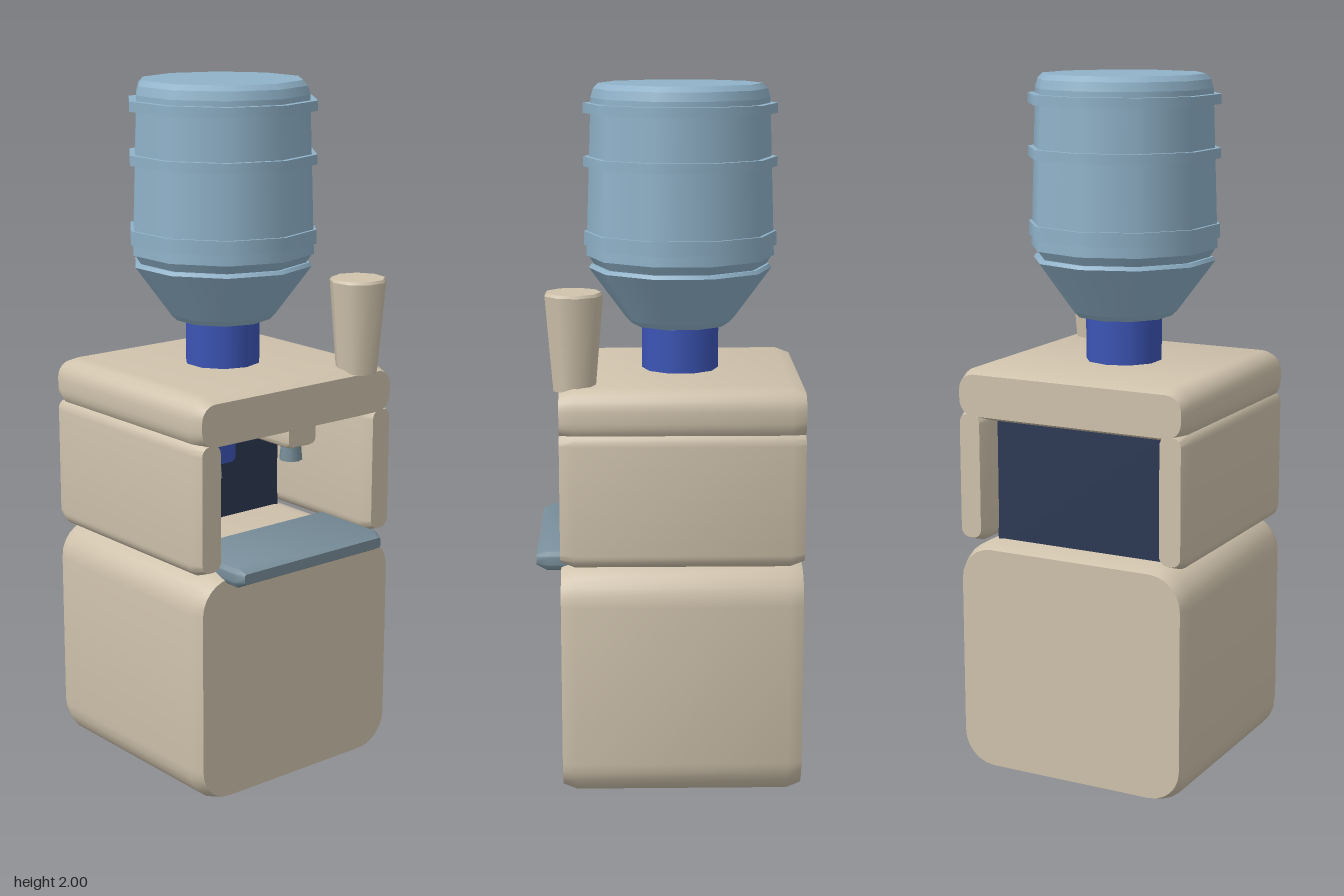
import * as THREE from 'three';
import { toCreasedNormals } from 'three/addons/utils/BufferGeometryUtils.js';

const material = (name, color) => {
  const m = new THREE.MeshStandardMaterial({ color });
  m.name = name;
  return m;
};

export function createModel() {
  const cream = material('cream plastic', 0xd0c3ad);
  const bottleBlue = material('bottle blue', 0x90b2c9);
  const deepBlue = material('deep blue', 0x3c55b6);
  const navy = material('navy', 0x2c3953);
  const steel = material('grey blue', 0x788e9a);

  const model = new THREE.Group();
  model.name = 'waterCooler';

  const add = (parent, name, geometry, mat, x = 0, y = 0, z = 0) => {
    const mesh = new THREE.Mesh(geometry, mat);
    mesh.name = name;
    mesh.position.set(x, y, z);
    parent.add(mesh);
    return mesh;
  };

  // Rounded block running along z, with softened front and back rims
  const block = (x0, x1, y0, y1, z0, z1, r, rim = 0.015, rimDepth = 0.04) => {
    const s = new THREE.Shape();
    s.moveTo(x0 + r, y0);
    s.lineTo(x1 - r, y0);
    s.absarc(x1 - r, y0 + r, r, -Math.PI / 2, 0, false);
    s.lineTo(x1, y1 - r);
    s.absarc(x1 - r, y1 - r, r, 0, Math.PI / 2, false);
    s.lineTo(x0 + r, y1);
    s.absarc(x0 + r, y1 - r, r, Math.PI / 2, Math.PI, false);
    s.lineTo(x0, y0 + r);
    s.absarc(x0 + r, y0 + r, r, Math.PI, Math.PI * 1.5, false);
    const g = new THREE.ExtrudeGeometry(s, {
      depth: z1 - z0 - 2 * rimDepth, curveSegments: 3,
      bevelEnabled: true, bevelSegments: 1,
      bevelThickness: rimDepth, bevelSize: rim, bevelOffset: -rim,
    });
    g.translate(0, 0, z0 + rimDepth);
    return toCreasedNormals(g, 0.75);
  };

  // Cabinet: base, two side walls and a top slab, open through the middle
  const back = -0.375, front = 0.305;
  add(model, 'base', block(-0.362, 0.362, 0, 0.685, back, front, 0.11), cream);
  add(model, 'topSlab', block(-0.362, 0.362, 1.04, 1.19, back, front, 0.06), cream);
  for (const side of [-1, 1]) {
    const inner = side * 0.268, outer = side * 0.362;
    add(model, side > 0 ? 'leftWall' : 'rightWall',
      block(Math.min(inner, outer), Math.max(inner, outer), 0.685, 1.075, back, front, 0.04), cream);
  }
  add(model, 'backPanel', new THREE.BoxGeometry(0.54, 0.39, 0.2), navy, 0, 0.855, -0.2);
  add(model, 'dripTray', block(-0.27, 0.27, 0.655, 0.715, 0.09, 0.375, 0.02, 0.015, 0.03), steel);

  // Cold and hot taps
  for (const [name, x, mat] of [['coldTap', -0.155, deepBlue], ['hotTap', 0.148, cream]]) {
    const tap = new THREE.Group();
    tap.name = name;
    tap.position.x = x;
    add(tap, 'tapBody', block(-0.056, 0.056, 0.942, 1.022, -0.12, 0.15, 0.02, 0.005, 0.01), mat);
    add(tap, 'spout', new THREE.CylinderGeometry(0.027, 0.034, 0.075, 8), steel, 0, 0.932, 0.1);
    model.add(tap);
  }

  // Bottle: stacked ten-sided sections, each [name, bottom y, top y, bottom radius, top radius]
  const bottle = new THREE.Group();
  bottle.name = 'bottle';
  bottle.position.z = -0.036;
  model.add(bottle);
  const sections = [
    ['neck', 1.17, 1.315, 0.11, 0.11, deepBlue],
    ['neckRim', 1.315, 1.325, 0.11, 0.1, deepBlue],
    ['shoulderEdge', 1.32, 1.335, 0.14, 0.155],
    ['shoulder', 1.335, 1.48, 0.155, 0.262],
    ['shoulderTop', 1.48, 1.49, 0.262, 0.255],
    ['lowerRim', 1.488, 1.515, 0.245, 0.262],
    ['barrel', 1.515, 1.96, 0.268, 0.253],
    ['upperRim', 1.96, 1.985, 0.253, 0.246],
    ['cap', 1.985, 2.0, 0.246, 0.232],
    ['lowerBand', 1.545, 1.585, 0.275, 0.275],
    ['middleBand', 1.768, 1.796, 0.275, 0.275],
    ['upperBand', 1.917, 1.945, 0.275, 0.275],
  ];
  for (const [name, y0, y1, r0, r1, mat = bottleBlue] of sections) {
    add(bottle, name, new THREE.CylinderGeometry(r1, r0, y1 - y0, 10), mat, 0, (y0 + y1) / 2);
  }

  // Stack of cups on the front corner
  const cups = new THREE.Group();
  cups.name = 'cupStack';
  cups.position.set(0.253, 0, 0.264);
  cups.rotation.y = Math.PI;
  add(cups, 'cupSide', new THREE.CylinderGeometry(0.082, 0.06, 0.265, 9), cream, 0, 1.3075);
  add(cups, 'cupRim', new THREE.CylinderGeometry(0.077, 0.082, 0.008, 9), cream, 0, 1.444);
  model.add(cups);

  return model;
}
